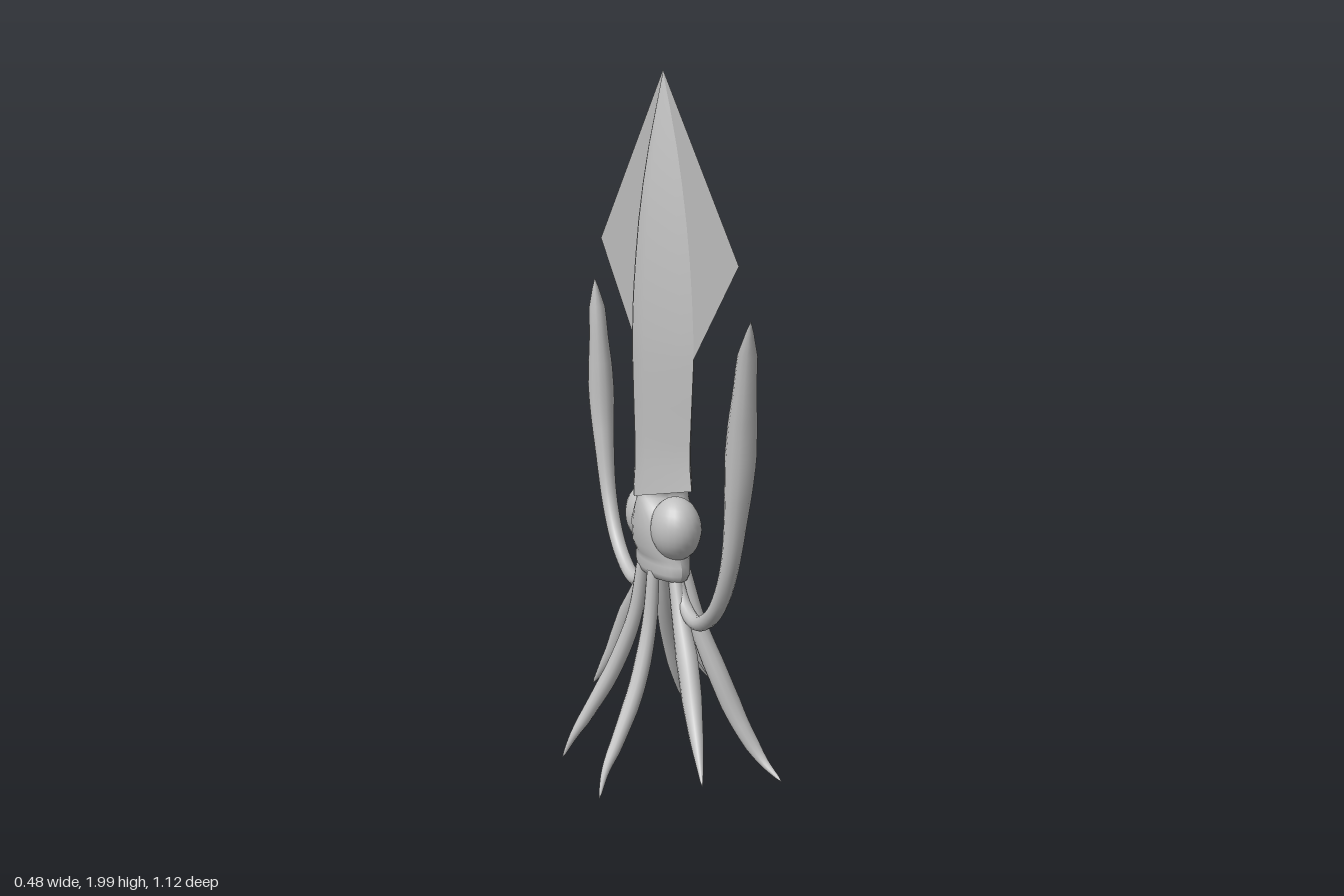
import * as THREE from 'three';

const skin = new THREE.MeshStandardMaterial({ color: 0xc0c0c0, side: THREE.DoubleSide });
skin.name = 'grey skin';
const CX = 0.015; // body axis

const add = (group, name, geometry) => {
  const mesh = new THREE.Mesh(geometry, skin);
  mesh.name = name;
  group.add(mesh);
  return mesh;
};

// Tube along a smooth path whose radius follows a list spaced evenly along it
function limb(points, radii, flat = 1) {
  const curve = new THREE.CatmullRomCurve3(points.map(p => new THREE.Vector3(...p)));
  const rings = 40, sides = 12;
  const g = new THREE.TubeGeometry(curve, rings, 1, sides, false);
  const pos = g.attributes.position;
  const v = new THREE.Vector3();
  for (let i = 0; i <= rings; i++) {
    const c = curve.getPointAt(i / rings);
    const f = (i / rings) * (radii.length - 1);
    const k = Math.min(Math.floor(f), radii.length - 2);
    let r = THREE.MathUtils.lerp(radii[k], radii[k + 1], f - k);
    if (i === rings) r = 0.001;
    for (let j = 0; j <= sides; j++) {
      const n = i * (sides + 1) + j;
      v.fromBufferAttribute(pos, n).sub(c).multiplyScalar(r);
      v.x *= flat;
      v.add(c);
      pos.setXYZ(n, v.x, v.y, v.z);
    }
  }
  return g;
}

// One side of the lens-shaped mantle; rows are [y, half depth in x, half width in z]
function mantleHalf(side) {
  const rows = [
    [1.99, 0.001, 0.002], [1.9, 0.02, 0.048], [1.8, 0.041, 0.094], [1.7, 0.058, 0.131],
    [1.6, 0.071, 0.161], [1.5, 0.08, 0.184], [1.4, 0.087, 0.2], [1.3, 0.09, 0.21],
    [1.22, 0.09, 0.211], [1.1, 0.087, 0.2], [1.0, 0.084, 0.191], [0.94, 0.084, 0.191], [0.88, 0.088, 0.204],
  ];
  const cols = 10;
  const g = new THREE.PlaneGeometry(2, 1, cols, rows.length - 1);
  const pos = g.attributes.position;
  for (let n = 0; n < pos.count; n++) {
    const row = Math.floor(n / (cols + 1));
    const [y, hx, hz] = rows[row];
    const t = pos.getX(n), a = Math.abs(t);
    const droop = [0.05, 0.02][rows.length - 1 - row] ?? 0; // lip hangs lower mid-side
    pos.setXYZ(n, CX + side * hx * (1 - a ** 1.12), y - droop * (1 - a), -side * t * hz);
  }
  g.computeVertexNormals();
  return g;
}

// Oval head core, rows are [y, half x, half z]
function headCore() {
  const rows = [
    [0.6, 0.001, 0.001], [0.602, 0.055, 0.13], [0.62, 0.062, 0.138], [0.645, 0.062, 0.138],
    [0.66, 0.064, 0.13], [0.69, 0.078, 0.13], [0.75, 0.083, 0.12], [0.8, 0.08, 0.075],
    [0.825, 0.078, 0.04], [0.85, 0.075, 0.045], [0.9, 0.06, 0.08],
  ];
  const g = new THREE.LatheGeometry(rows.map(([y, x]) => new THREE.Vector2(x, y)), 28);
  const pos = g.attributes.position;
  for (let n = 0; n < pos.count; n++) {
    const [, x, z] = rows[n % rows.length];
    pos.setZ(n, pos.getZ(n) * z / x);
  }
  g.computeVertexNormals();
  return g.translate(CX, 0, 0);
}

export function createModel() {
  const model = new THREE.Group();
  model.name = 'squid';

  // Mantle
  for (const s of [1, -1]) add(model, 'mantle', mantleHalf(s));

  // Head
  add(model, 'head', headCore());

  // Arms: path and radii for the +z side, mirrored to -z
  const arms = [
    { name: 'outerArm', flat: 0.8, r: [0.022, 0.028, 0.037, 0.034, 0.022, 0.003],
      p: [[0.01, 0.62, 0.095], [0.005, 0.52, 0.145], [-0.005, 0.4, 0.225], [-0.02, 0.27, 0.305], [-0.046, 0.125, 0.42]] },
    { name: 'sideArm', flat: 1, r: [0.02, 0.025, 0.03, 0.03, 0.022, 0.003],
      p: [[0.045, 0.62, 0.085], [0.07, 0.48, 0.12], [0.115, 0.33, 0.17], [0.165, 0.19, 0.215], [0.21, 0.095, 0.265], [0.238, 0.052, 0.328]] },
    { name: 'rearArm', flat: 1, r: [0.018, 0.021, 0.024, 0.024, 0.018, 0.003],
      p: [[-0.03, 0.62, 0.04], [-0.05, 0.46, 0.055], [-0.1, 0.3, 0.088], [-0.17, 0.16, 0.118], [-0.215, 0.08, 0.135], [-0.241, 0.012, 0.155]] },
    { name: 'innerArm', flat: 1, r: [0.016, 0.018, 0.019, 0.017, 0.012, 0.003],
      p: [[0.06, 0.62, 0.025], [0.075, 0.48, 0.025], [0.115, 0.36, 0.025], [0.17, 0.265, 0.027], [0.23, 0.205, 0.042]] },
    // Long feeding tentacle with a club at the end
    { name: 'tentacle', flat: 1, r: [0.018, 0.02, 0.021, 0.022, 0.023, 0.024, 0.026, 0.03, 0.036, 0.041, 0.038, 0.03, 0.026, 0.003],
      p: [[0.018, 0.61, 0.09], [0.018, 0.54, 0.15], [0.018, 0.515, 0.23], [0.018, 0.575, 0.345], [0.018, 0.7, 0.43],
        [0.018, 0.92, 0.485], [0.018, 1.13, 0.51], [0.018, 1.27, 0.528], [0.018, 1.385, 0.55]] },
  ];

  for (const s of [1, -1]) {
    for (const { name, p, r, flat } of arms) {
      add(model, name, limb(p.map(([x, y, z]) => [x, y, z * s]), r, flat));
    }

    // Bulging eye
    const eye = add(model, 'eye', new THREE.SphereGeometry(1, 24, 16));
    eye.scale.set(0.07, 0.09, 0.083);
    eye.position.set(CX, 0.75, 0.096 * s);

    // Flat fin running from the tip down the mantle edge
    const fin = new THREE.Shape([[0, 2], [0.485 * s, 1.515], [0.21 * s, 1.24], [0, 1.24]]
      .map(([z, y]) => new THREE.Vector2(-z, y)));
    add(model, 'fin', new THREE.ShapeGeometry(fin).rotateY(Math.PI / 2).translate(CX, 0, 0));
  }
  return model;
}
